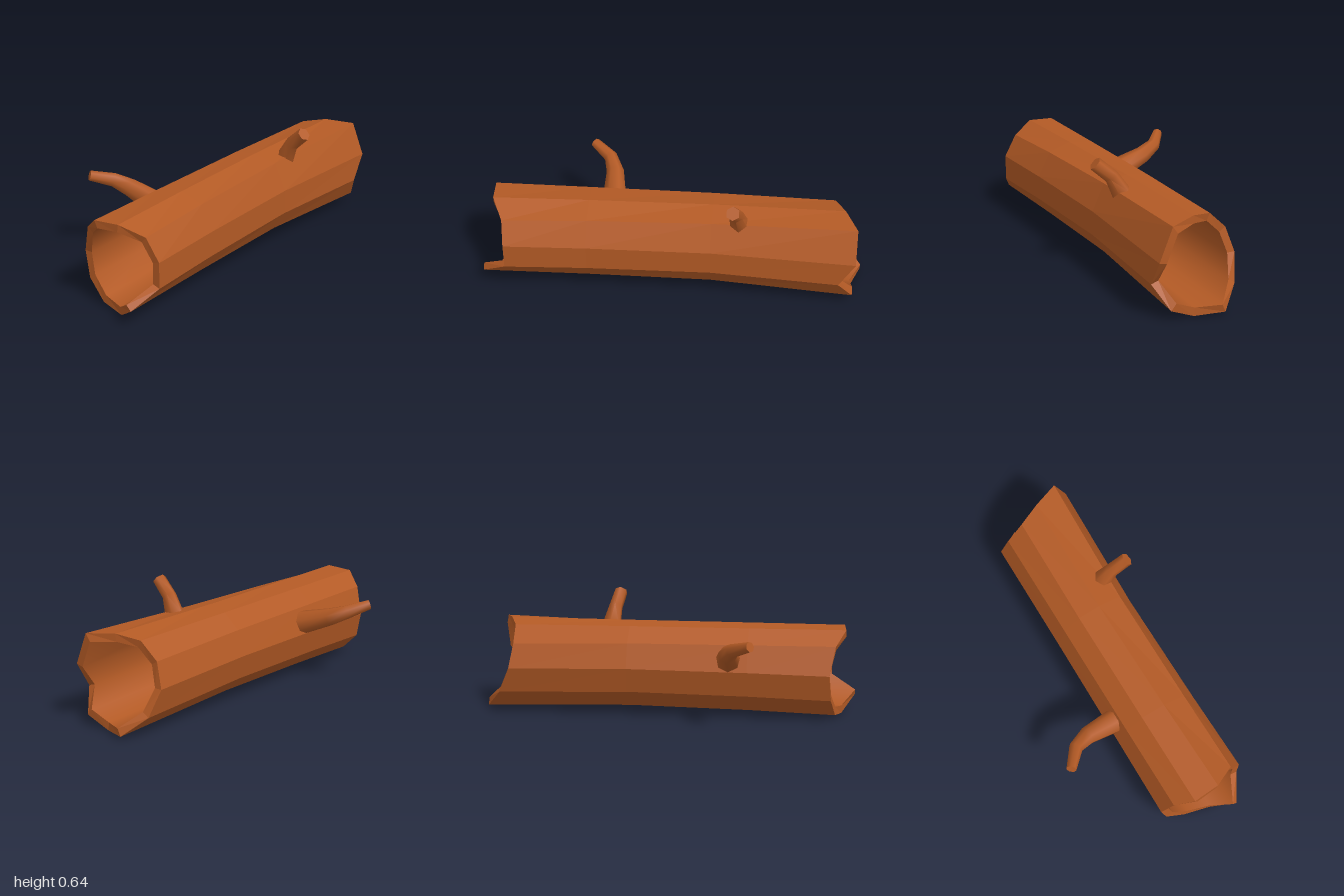
import * as THREE from 'three';
import { toCreasedNormals } from 'three/addons/utils/BufferGeometryUtils.js';

const wood = new THREE.MeshStandardMaterial({ color: 0xb35a25, roughness: 1 });
const V = (x, y, z) => new THREE.Vector3(x, y, z);

// Skin a list of equal-length closed rings; edges sharper than `crease` stay hard
function loft(name, rings, crease) {
  const pos = [];
  const n = rings[0].length;
  const tri = (a, b, c) => {
    if (new THREE.Triangle(a, b, c).getArea() < 1e-8) return;
    for (const p of [a, b, c]) pos.push(p.x, p.y, p.z);
  };
  for (let i = 0; i < rings.length - 1; i++) {
    for (let j = 0; j < n; j++) {
      const k = (j + 1) % n;
      const a = rings[i][j], b = rings[i + 1][j], c = rings[i + 1][k], d = rings[i][k];
      tri(a, b, c);
      tri(a, c, d);
    }
  }
  const geo = new THREE.BufferGeometry();
  geo.setAttribute('position', new THREE.Float32BufferAttribute(pos, 3));
  geo.computeVertexNormals();
  const mesh = new THREE.Mesh(crease ? toCreasedNormals(geo, crease) : geo, wood);
  mesh.name = name;
  return mesh;
}

// Jagged trunk ends: [x, y, z] around the rim, from the upper front over the back
const leftEnd = [
  [-0.88, 0.43, 0.32], [-0.94, 0.485, 0.2], [-0.95, 0.475, 0.06], [-0.9, 0.4, -0.03],
  [-0.87, 0.25, -0.078], [-0.88, 0.115, -0.045], [-0.9, 0.02, 0.06], [-0.93, 0.005, 0.2],
  [-1, 0.09, 0.32], [-0.87, 0.18, 0.39], [-0.87, 0.315, 0.39],
].map((p) => V(...p));
const rightEnd = [
  [0.94, 0.485, 0.325], [0.88, 0.495, 0.18], [0.83, 0.47, 0.06], [0.82, 0.38, -0.035],
  [0.84, 0.25, -0.078], [0.9, 0.115, -0.045], [0.99, 0.02, 0.06], [0.93, 0.003, 0.2],
  [0.94, 0.06, 0.33], [0.86, 0.18, 0.395], [0.94, 0.315, 0.395],
].map((p) => V(...p));

// Slightly pinched cross-section between the ends
const middle = (x, t, pinch) => leftEnd.map((p, j) => {
  const q = p.clone().lerp(rightEnd[j], t);
  return V(x, 0.51 + (q.y - 0.51) * pinch, -0.07 + (q.z + 0.07) * pinch);
});
const shrink = (ring) => ring.map((p) =>
  V(p.x, 0.255 + (p.y - 0.255) * 0.83, 0.165 + (p.z - 0.165) * 0.83));

// Bent tapering branch; each node is [x, y, z, radius]
function branch(name, nodes, sides) {
  const pts = nodes.map((p) => V(p[0], p[1], p[2]));
  const rings = nodes.map((node, i) => {
    const next = pts[Math.min(i + 1, pts.length - 1)];
    const d = next.clone().sub(pts[Math.max(i - 1, 0)]).normalize();
    const u = d.clone().cross(V(1, 0, 0)).normalize();
    const v = d.clone().cross(u);
    return Array.from({ length: sides }, (_, j) => {
      const a = -j / sides * Math.PI * 2;
      return pts[i].clone()
        .addScaledVector(u, Math.cos(a) * node[3])
        .addScaledVector(v, Math.sin(a) * node[3]);
    });
  });
  // flat cap at the tip
  const tip = pts[pts.length - 1];
  rings.push(Array.from({ length: sides }, () => tip.clone()));
  return loft(name, rings, 1.1);
}

export function createModel() {
  const log = new THREE.Group();
  log.name = 'hollowLog';

  const outer = [leftEnd, middle(-0.44, 0.3, 0.97), middle(0.2, 0.6, 0.95), rightEnd];
  const inner = outer.map(shrink);

  // Faceted bark with the end rims, then the smooth hollow inside
  log.add(loft('bark', [inner[0], ...outer, inner[3]], 0));
  log.add(loft('hollow', [...inner].reverse(), 0.9));

  log.add(branch('frontBranch', [
    [0.34, 0.45, 0.275, 0.052], [0.325, 0.545, 0.325, 0.038], [0.31, 0.62, 0.408, 0.036],
  ], 6));
  log.add(branch('backBranch', [
    [-0.34, 0.315, -0.04, 0.066], [-0.355, 0.375, -0.22, 0.048],
    [-0.39, 0.41, -0.31, 0.037], [-0.485, 0.445, -0.39, 0.027],
  ], 7));
  return log;
}
